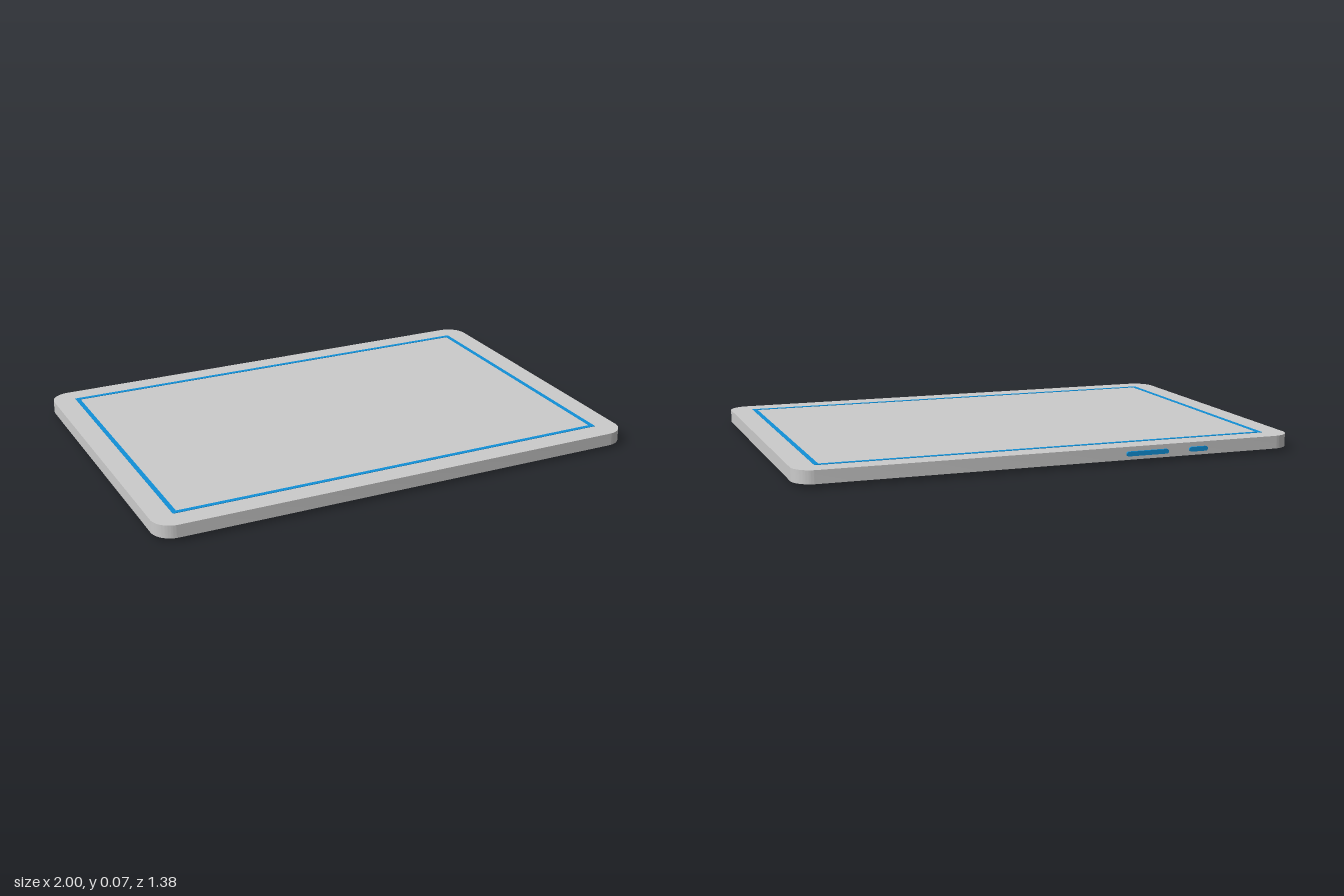
import * as THREE from 'three';
import { toCreasedNormals } from 'three/addons/utils/BufferGeometryUtils.js';

const grey = new THREE.MeshStandardMaterial({ color: 0xcccccc });
const blue = new THREE.MeshStandardMaterial({ color: 0x1090d8 });

// Rounded rectangle centred on the origin
function roundedRect(w, h, r) {
  const s = new THREE.Shape();
  const x = w / 2 - r, y = h / 2 - r;
  s.absarc(x, y, r, 0, Math.PI / 2);
  s.absarc(-x, y, r, Math.PI / 2, Math.PI);
  s.absarc(-x, -y, r, Math.PI, Math.PI * 1.5);
  s.absarc(x, -y, r, Math.PI * 1.5, Math.PI * 2);
  s.closePath();
  return s;
}

function rect(Type, w, h) {
  return new Type([[-1, -1], [1, -1], [1, 1], [-1, 1]]
    .map(([x, y]) => new THREE.Vector2(x * w / 2, y * h / 2)));
}

function extrude(shape, depth) {
  const g = new THREE.ExtrudeGeometry(shape, { depth, bevelEnabled: false, curveSegments: 16 });
  return toCreasedNormals(g, 0.6);
}

export function createModel() {
  const group = new THREE.Group();
  const add = (name, geometry, material, x, y, z) => {
    const mesh = new THREE.Mesh(geometry, material);
    mesh.name = name;
    mesh.position.set(x, y, z);
    group.add(mesh);
  };
  // Flat slab whose base lies at y = 0
  const slab = (shape, height) => extrude(shape, height).rotateX(-Math.PI / 2);

  // Tablet body
  add('body', slab(roundedRect(2, 1.37, 0.08), 0.051), grey, 0, 0.013, 0.004);

  // Thin border around the display
  const border = rect(THREE.Shape, 1.82, 1.2);
  border.holes.push(rect(THREE.Path, 1.784, 1.164));
  add('screenBorder', slab(border, 0.003), blue, 0, 0.0625, 0);

  // Camera ring under the back face
  const ring = new THREE.Shape().absarc(0, 0, 0.066, 0, Math.PI * 2);
  ring.holes.push(new THREE.Path().absarc(0, 0, 0.056, 0, Math.PI * 2));
  add('cameraRing', slab(ring, 0.014), blue, -0.845, 0, -0.527);

  // Pill-shaped power and volume buttons on the rear edge
  for (const [name, x, width] of [['powerButton', -0.583, 0.078], ['volumeButton', -0.367, 0.176]]) {
    add(name, extrude(roundedRect(width, 0.018, 0.0088), 0.012), blue, x, 0.037, -0.689);
  }
  return group;
}
